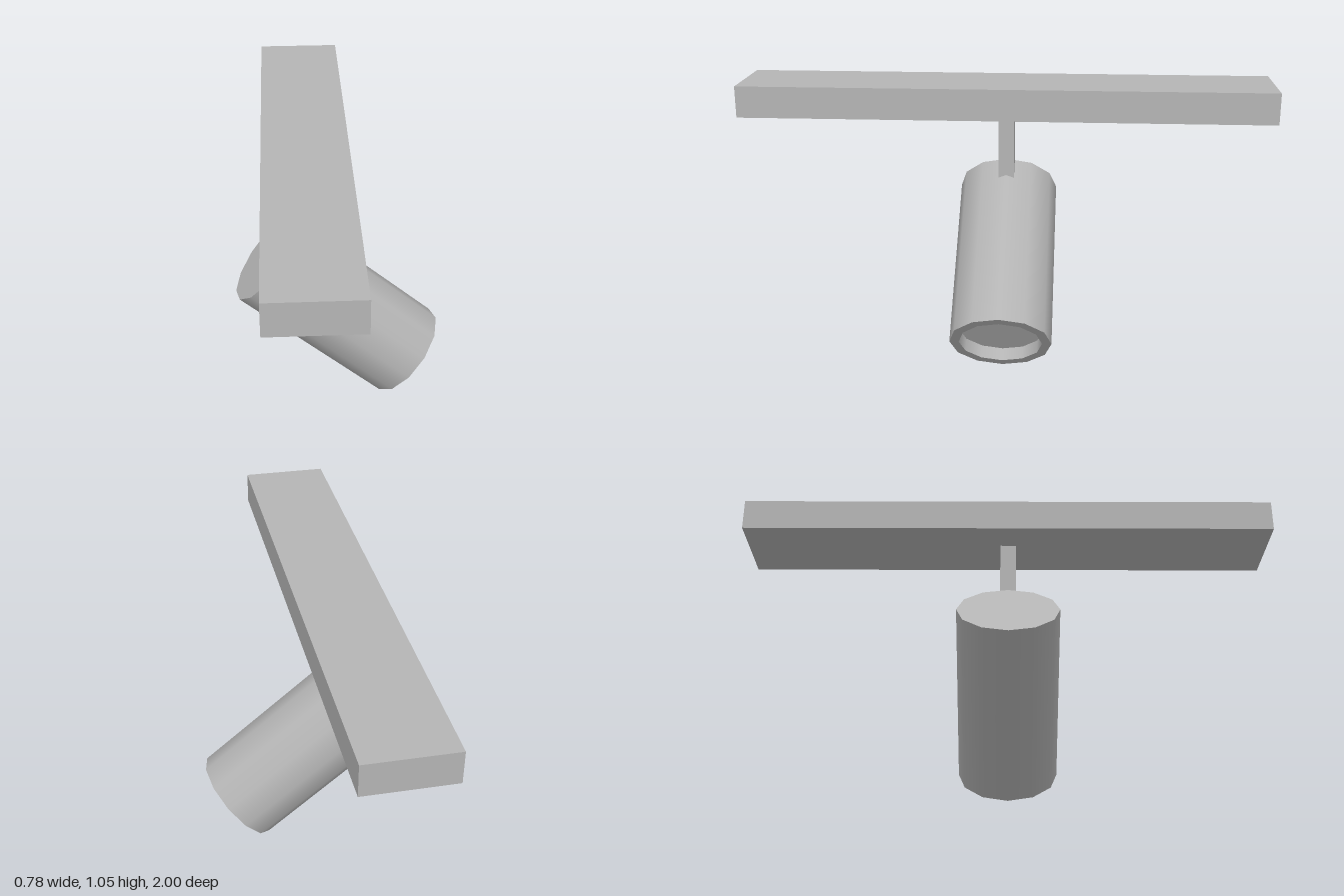
import * as THREE from 'three';

export function createModel() {
  const model = new THREE.Group();
  const grey = new THREE.MeshStandardMaterial({ name: 'grey metal', color: 0xb4b4b4 });
  const lensGrey = new THREE.MeshStandardMaterial({ name: 'pale lens', color: 0xcccccc });

  const box = (name, w, h, d, x, y) => {
    const mesh = new THREE.Mesh(new THREE.BoxGeometry(w, h, d), grey);
    mesh.name = name;
    mesh.position.set(x, y, 0);
    model.add(mesh);
  };

  // Ceiling rail and the square stem that sinks into the lamp
  box('ceilingRail', 0.318, 0.118, 2, -0.117, 0.996);
  box('stem', 0.06, 0.28, 0.06, -0.118, 0.798);

  // Tilted twelve-sided lamp, opening towards its local -y
  const lamp = new THREE.Group();
  lamp.name = 'lampHead';
  lamp.position.set(-0.001, 0.374, 0);
  lamp.rotation.z = 0.874;
  model.add(lamp);

  const R = 0.19, r = 0.155, half = 0.349, lensY = -half + 0.05;

  // Each band is its own lathe so that the rims stay sharp
  const band = (name, material, x0, y0, x1, y1) => {
    const profile = [new THREE.Vector2(x0, y0), new THREE.Vector2(x1, y1)];
    const mesh = new THREE.Mesh(new THREE.LatheGeometry(profile, 12), material);
    mesh.name = name;
    lamp.add(mesh);
  };
  band('lens', lensGrey, 0, lensY, r, lensY);
  band('innerWall', grey, r, lensY, r, -half);
  band('frontRim', grey, r, -half, R, -half);
  band('outerShell', grey, R, -half, R, half);
  band('backCap', grey, R, half, 0, half);

  return model;
}
